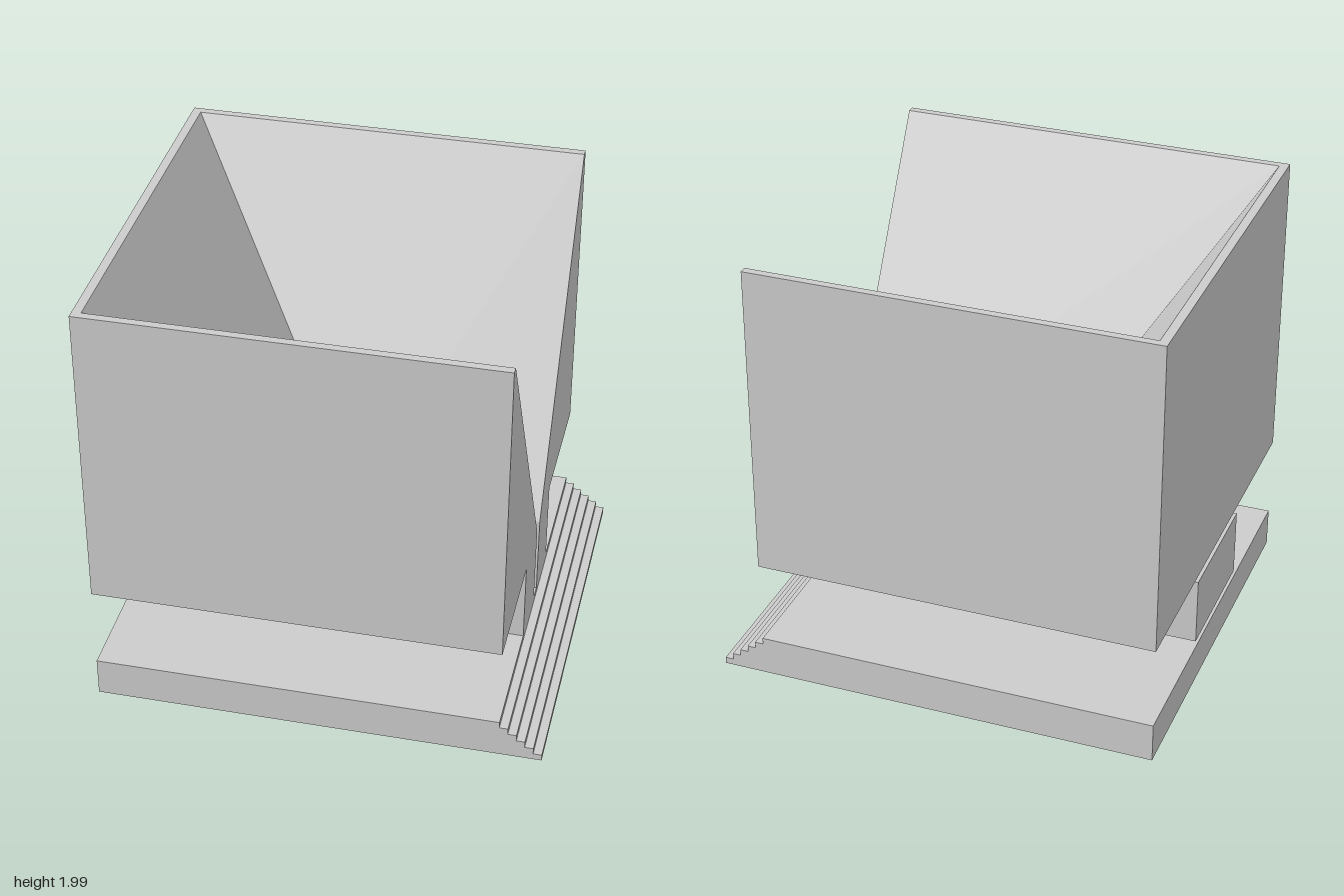
import * as THREE from 'three';

const BACK = -1, FRONT = 0.81, HALF = 0.907;   // building footprint
const Y_BASE = 0.18, Y_UNDER = 0.56, Y_TOP = 1.99;
const SLOT = 0.035, SLOT_END = -0.03;          // narrow passage open towards +x
const STEPS = 5;

export function createModel() {
  const group = new THREE.Group();
  const material = new THREE.MeshStandardMaterial({ color: 0xcccccc, flatShading: true });

  const add = (name, geometry) => {
    const mesh = new THREE.Mesh(geometry, material);
    mesh.name = name;
    group.add(mesh);
    return mesh;
  };

  // U-shaped plan: three walls round a recess that is open at the +x end
  const plan = (back, zMin, zMax, recessEnd, recessHalf) => [
    [FRONT, zMax], [back, zMax], [back, zMin], [FRONT, zMin],
    [FRONT, -recessHalf], [recessEnd, -recessHalf], [recessEnd, recessHalf], [FRONT, recessHalf],
  ];

  // Solid between a lower and an upper U-shaped plan
  const loft = (lower, upper, y0, y1) => {
    const pos = [];
    const low = (i) => [lower[i % 8][0], y0, lower[i % 8][1]];
    const high = (i) => [upper[i % 8][0], y1, upper[i % 8][1]];
    const quad = (a, b, c, d) => pos.push(...a, ...b, ...c, ...a, ...c, ...d);
    for (let i = 0; i < 8; i++) quad(low(i + 1), low(i), high(i), high(i + 1));
    for (let i = 0; i < 3; i++) {
      const [a, b, c, d] = [i, i + 1, 6 - i, 7 - i];
      quad(low(a), low(b), low(c), low(d));
      quad(high(d), high(c), high(b), high(a));
    }
    const geometry = new THREE.BufferGeometry();
    geometry.setAttribute('position', new THREE.Float32BufferAttribute(pos, 3));
    geometry.computeVertexNormals();
    return geometry;
  };

  // Plinth with a full-width flight of steps at the +x end
  const profile = new THREE.Shape();
  profile.moveTo(BACK, 0);
  profile.lineTo(1, 0);
  const rise = Y_BASE / (STEPS + 1), run = (1 - FRONT) / STEPS;
  for (let i = 0; i < STEPS; i++) {
    profile.lineTo(1 - i * run, (i + 1) * rise);
    profile.lineTo(1 - (i + 1) * run, (i + 1) * rise);
  }
  profile.lineTo(FRONT, Y_BASE);
  profile.lineTo(BACK, Y_BASE);
  const plinth = new THREE.ExtrudeGeometry(profile, { depth: 2 * HALF, bevelEnabled: false });
  add('steppedPlinth', plinth.translate(0, 0, -HALF));

  // Narrow core, split by the entrance slot
  const core = plan(-0.595, -0.3, 0.316, SLOT_END, SLOT);
  add('core', loft(core, core, Y_BASE, Y_UNDER));

  // Overhanging block, hollowed by a funnel that widens upwards
  add('upperBlock', loft(
    plan(BACK, -HALF, HALF, SLOT_END, SLOT),
    plan(BACK, -HALF, HALF, -0.96, 0.871),
    Y_UNDER, Y_TOP,
  ));

  // Separate box in the gap behind the core
  add('rearBox', new THREE.BoxGeometry(0.39, 0.31, 0.6)).position.set(-0.805, 0.368, 0);

  return group;
}
